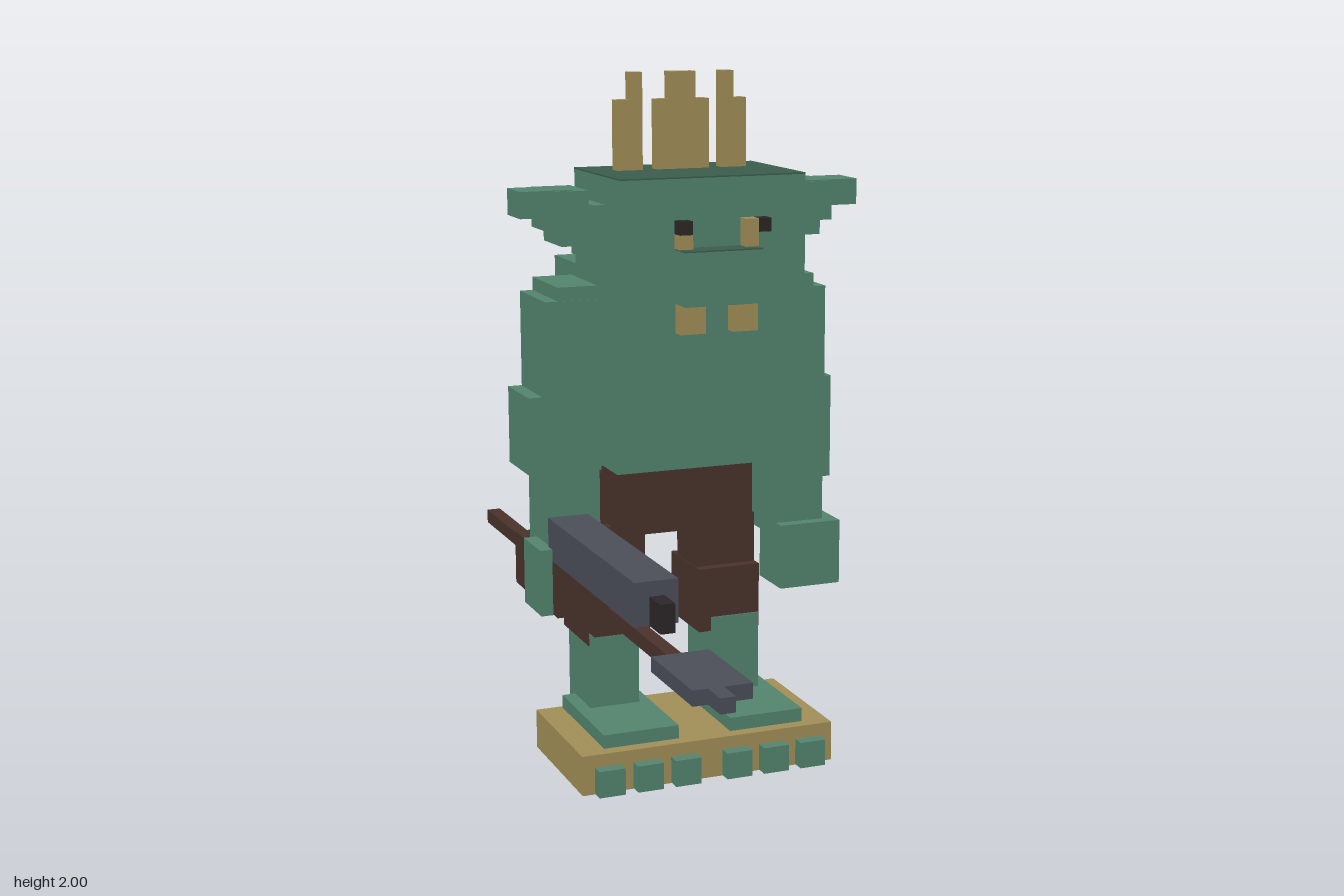
import * as THREE from 'three';

const paint = (name, color) => {
  const m = new THREE.MeshStandardMaterial({ color });
  m.name = name;
  return m;
};

export function createModel() {
  const green = paint('skinGreen', 0x54866f);
  const darkGreen = paint('darkGreen', 0x3b5e4e);
  const bone = paint('boneYellow', 0xa39058);
  const brown = paint('leatherBrown', 0x4a332b);
  const steel = paint('steelGrey', 0x4c4f5a);
  const black = paint('black', 0x2c2728);

  const model = new THREE.Group();
  model.name = 'ogre';
  const group = (name) => {
    const g = new THREE.Group();
    g.name = name;
    model.add(g);
    return g;
  };
  // Box given by its extents along each axis
  const box = (parent, name, mat, [x0, x1], [y0, y1], [z0, z1]) => {
    const mesh = new THREE.Mesh(new THREE.BoxGeometry(x1 - x0, y1 - y0, z1 - z0), mat);
    mesh.position.set((x0 + x1) / 2, (y0 + y1) / 2, (z0 + z1) / 2);
    mesh.name = name;
    parent.add(mesh);
  };
  // Extents on the side s (+1 left, -1 right)
  const side = (s, a, b) => (s > 0 ? [a, b] : [-b, -a]);

  // Torso and waist
  const body = group('body');
  box(body, 'chest', green, [-0.23, 0.23], [0.89, 1.45], [-0.59, -0.175]);
  box(body, 'back', green, [-0.267, 0.267], [0.89, 1.46], [-0.6, -0.3]);
  box(body, 'waist', brown, [-0.195, 0.195], [0.7, 0.89], [-0.6, -0.21]);

  // Head with dark upper faces
  const head = group('head');
  box(head, 'skull', green, [-0.27, 0.27], [1.31, 1.728], [-0.4, -0.02]);
  box(head, 'scalp', darkGreen, [-0.27, 0.27], [1.728, 1.732], [-0.4, -0.02]);
  box(head, 'snout', green, [-0.113, 0.113], [1.39, 1.537], [-0.03, 0.055]);
  box(head, 'snoutTop', darkGreen, [-0.113, 0.113], [1.537, 1.541], [-0.02, 0.055]);

  // Eyes, looking to one side
  box(head, 'rightEyeWhite', bone, [-0.115, -0.077], [1.54, 1.58], [-0.03, 0.02]);
  box(head, 'rightPupil', black, [-0.115, -0.077], [1.58, 1.617], [-0.03, 0.02]);
  box(head, 'leftEyeWhite', bone, [0.077, 0.115], [1.54, 1.617], [-0.03, 0.02]);
  box(head, 'leftPupil', black, [0.115, 0.152], [1.58, 1.617], [-0.03, 0.02]);

  // Crest of stepped spikes
  const crest = group('crest');
  const spikes = [
    [-0.195, -0.12, 1.925], [-0.155, -0.12, 2],
    [-0.078, 0.077, 1.925], [-0.04, 0.038, 2],
    [0.115, 0.19, 1.925], [0.115, 0.152, 2],
  ];
  spikes.forEach(([a, b, top]) => box(crest, 'spike', bone, [a, b], [top > 1.95 ? 1.925 : 1.73, top], [-0.29, -0.25]));

  for (const s of [1, -1]) {
    const word = s > 0 ? 'left' : 'right';
    box(head, word + 'Tusk', bone, side(s, 0.04, 0.113), [1.31, 1.39], [-0.03, 0.02]);

    // Stepped ear
    const ear = group(word + 'Ear');
    box(ear, 'earRoot', green, side(s, 0.26, 0.305), [1.5, 1.653], [-0.33, -0.135]);
    box(ear, 'earLower', green, side(s, 0.27, 0.385), [1.54, 1.65], [-0.33, -0.172]);
    box(ear, 'earUpper', green, side(s, 0.307, 0.42), [1.58, 1.69], [-0.328, -0.17]);
    box(ear, 'earTip', green, side(s, 0.35, 0.5), [1.62, 1.693], [-0.29, -0.175]);

    // Arm
    const arm = group(word + 'Arm');
    box(arm, 'shoulder', green, side(s, 0.2, 0.385), [1.3, 1.423], [-0.443, -0.212]);
    box(arm, 'upperArm', green, side(s, 0.23, 0.422), [1.04, 1.385], [-0.445, -0.21]);
    box(arm, 'elbow', green, side(s, 0.25, 0.462), [s > 0 ? 0.81 : 0.89, 1.112], [-0.447, -0.252]);
    box(arm, 'forearm', green, side(s, 0.27, 0.42), [0.65, 1.04], [-0.4, -0.212]);
    box(arm, 'hand', green, side(s, 0.272, 0.46), [0.503, 0.693], [-0.33, -0.175]);

    // Trouser leg, stepping forward towards the knee
    const leg = group(word + 'Leg');
    box(leg, 'hip', brown, side(s, 0.195, 0.272), [0.6, 0.927], [-0.52, -0.445]);
    box(leg, 'thigh', brown, side(s, 0.082, 0.27), [0.5, 0.845], [-0.518, -0.402]);
    box(leg, 'knee', brown, side(s, 0.08, 0.268), [0.42, 0.69], [-0.516, -0.365]);
    box(leg, 'cuff', brown, side(s, 0.078, 0.27), [0.347, 0.54], [-0.56, -0.332]);
    box(leg, 'shin', green, side(s, 0.115, 0.267), [0.14, 0.39], [-0.52, -0.328]);
    box(leg, 'foot', green, side(s, 0.08, 0.307), [0.1, 0.157], [-0.47, -0.095]);
    box(leg, 'sole', bone, side(s, 0, 0.385), [0, 0.117], [-0.483, -0.057]);
    for (const x of [0.04, 0.155, 0.27]) {
      box(leg, 'toe', green, side(s, x, x + 0.078), [0.002, 0.08], [-0.07, -0.018]);
    }
  }

  // Long gun with a bladed pole beneath it
  const gun = group('weapon');
  const wide = [-0.425, -0.307];
  const thin = [-0.385, -0.345];
  box(gun, 'barrel', steel, wide, [0.66, 0.777], [-0.21, 0.495]);
  box(gun, 'muzzle', black, thin, [0.66, 0.737], [0.495, 0.573]);
  box(gun, 'pole', brown, thin, [0.58, 0.62], [-0.96, 0.612]);
  box(gun, 'foregrip', brown, wide, [0.542, 0.66], [-0.018, 0.18]);
  box(gun, 'stock', brown, wide, [0.505, 0.66], [-0.53, -0.135]);
  box(gun, 'blade', steel, [-0.425, -0.27], [0.58, 0.62], [0.612, 0.89]);
  box(gun, 'bladeTip', steel, thin, [0.58, 0.62], [0.89, 0.965]);

  return model;
}
